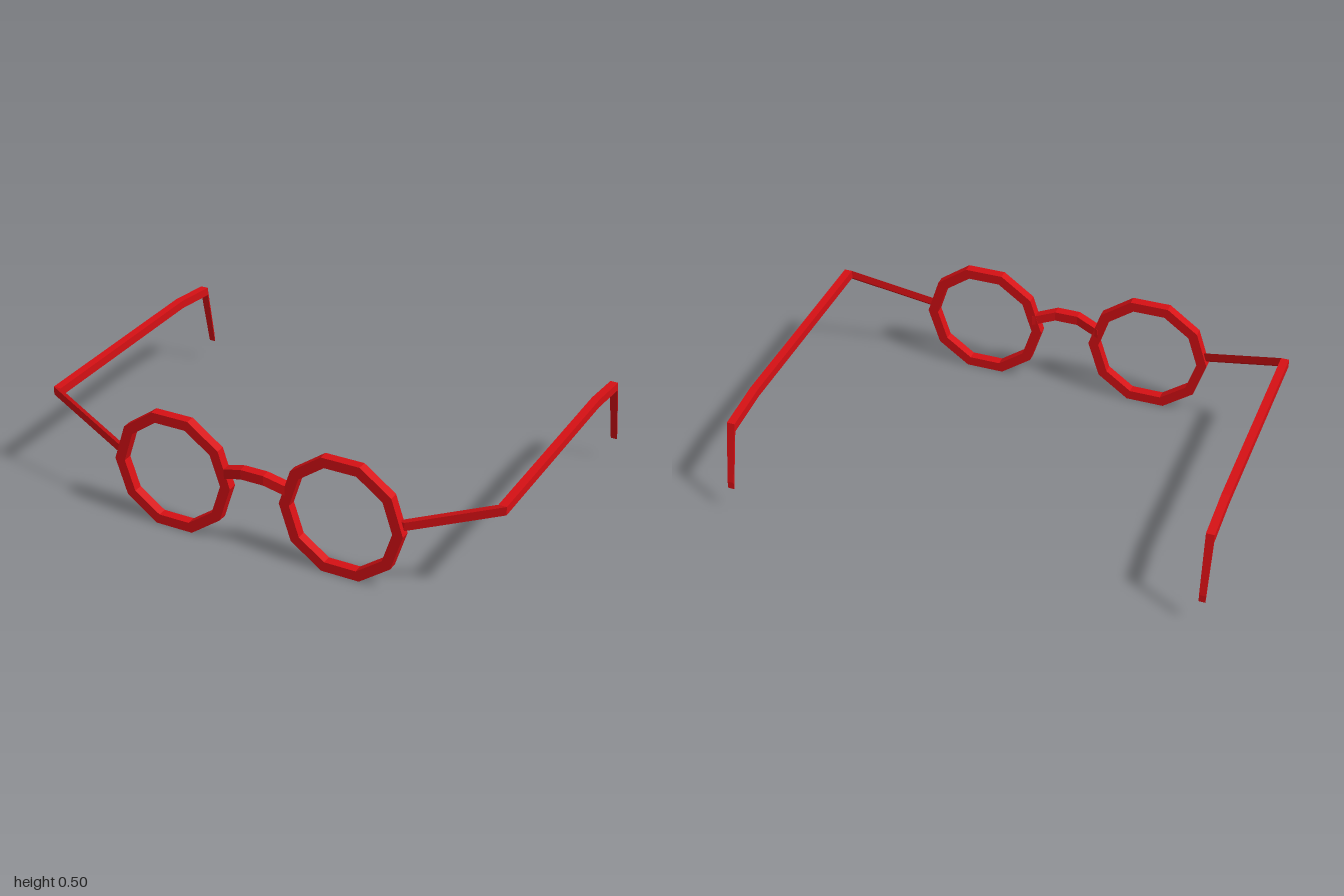
import * as THREE from 'three';

const V = (x, y, z) => new THREE.Vector3(x, y, z);

// Sweep a rectangle spanned by axes u and v along points [centre, width, height]; the path runs against u x v.
function sweep(path, u, v) {
  const rings = path.map(([c, w, h]) => [[-1, -1], [1, -1], [1, 1], [-1, 1]].map(([a, b]) =>
    c.clone().addScaledVector(u, a * w / 2).addScaledVector(v, b * h / 2)));
  const pts = [];
  const quad = (a, b, c, d) => pts.push(a, b, c, a, c, d);
  for (let j = 0; j < rings.length - 1; j++) {
    for (let i = 0; i < 4; i++) {
      const k = (i + 1) % 4;
      quad(rings[j][i], rings[j + 1][i], rings[j + 1][k], rings[j][k]);
    }
  }
  quad(...rings[0]);
  quad(...[...rings[rings.length - 1]].reverse());
  const geo = new THREE.BufferGeometry().setFromPoints(pts);
  geo.computeVertexNormals();
  return geo;
}

// Ten-sided ring with a flat top
function rimGeometry(outer, inner, depth) {
  const ring = r => Array.from({ length: 10 }, (_, i) =>
    new THREE.Vector2(r * Math.cos(i * Math.PI / 5), r * Math.sin(i * Math.PI / 5)));
  const shape = new THREE.Shape(ring(outer));
  shape.holes.push(new THREE.Path(ring(inner)));
  return new THREE.ExtrudeGeometry(shape, { depth, bevelEnabled: false });
}

export function createModel() {
  const group = new THREE.Group();
  const red = new THREE.MeshStandardMaterial({ color: 0xd61014 });
  red.name = 'frame red';
  red.flatShading = true;
  const add = (name, geo) => {
    const mesh = new THREE.Mesh(geo, red);
    mesh.name = name;
    group.add(mesh);
    return mesh;
  };
  const X = V(1, 0, 0), Y = V(0, 1, 0), Z = V(0, 0, 1);

  for (const [side, s] of [['left', 1], ['right', -1]]) {
    // Rim
    add(side + 'Rim', rimGeometry(0.2645, 0.22, 0.04)).position.set(s * 0.373, 0.2515, 0.609);

    // Temple arm: end piece, straight arm, ear hook
    add(side + 'Temple', sweep([
      [V(s * 0.615, 0.286, 0.628), 0.034, 0.036],
      [V(s * 0.983, 0.411, 0.536), 0.034, 0.036],
      [V(s * 0.983, 0.411, -0.4), 0.034, 0.036],
      [V(s * 0.983, 0.387, -0.613), 0.034, 0.036],
      [V(s * 0.983, 0.128, -0.665), 0.027, 0.032],
    ], X, Y));
  }

  // Nose bridge, arched up and forward
  add('bridge', sweep([
    [V(0.15, 0.308, 0.626), 0.042, 0.04],
    [V(0.05, 0.343, 0.645), 0.042, 0.04],
    [V(-0.05, 0.343, 0.645), 0.042, 0.04],
    [V(-0.15, 0.308, 0.626), 0.042, 0.04],
  ], Y, Z));

  return group;
}
